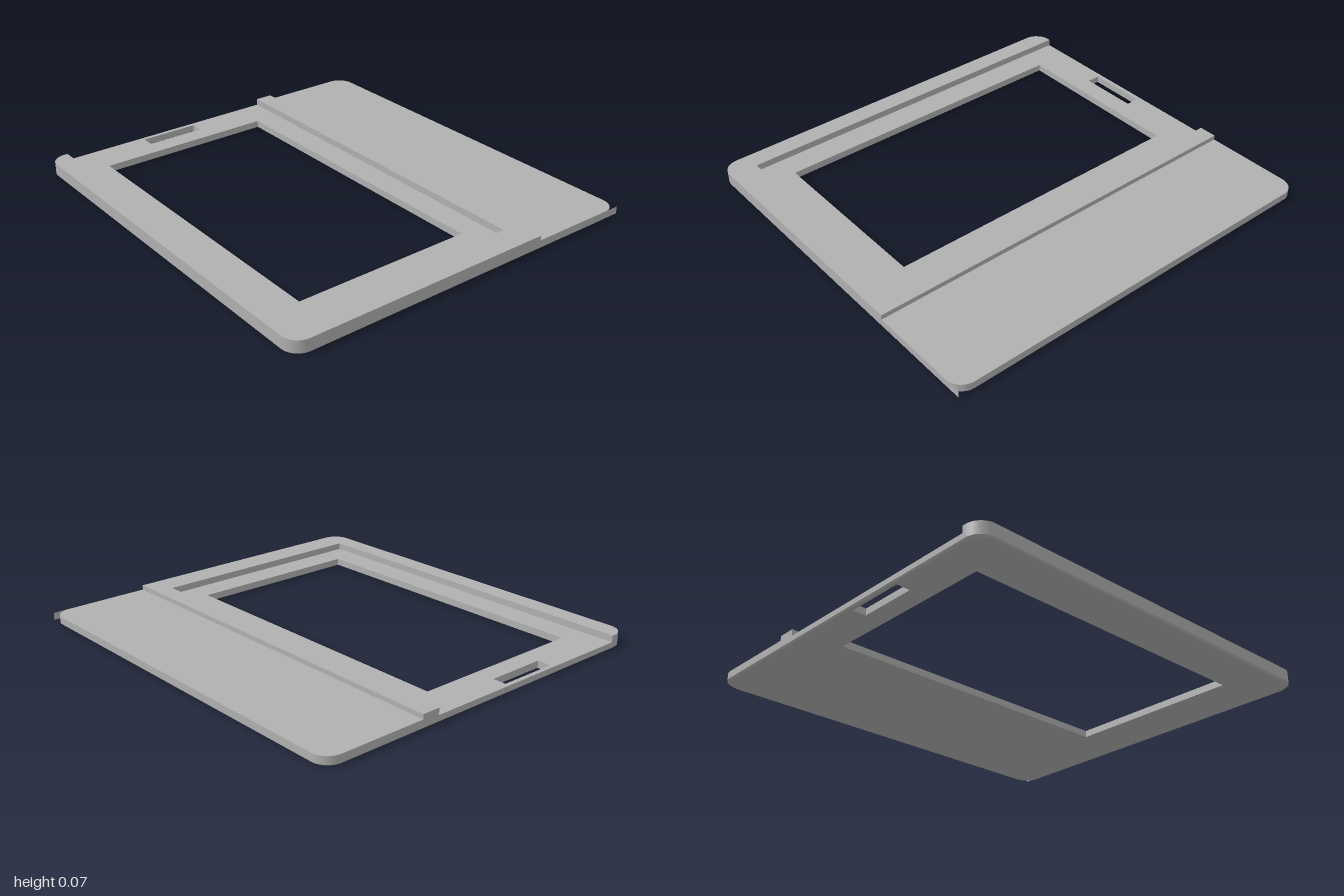
import * as THREE from 'three';

const W = 1, D = 0.917, R = 0.08;           // half width, half depth, corner radius
const FLOOR = 0.034, BACK = 0.044, TOP = 0.067, CHAMFER = 0.008;

// Plan outlines use (x, z) as shape coordinates
function rectHole(x0, x1, z0, z1) {
  const p = new THREE.Path();
  p.moveTo(x0, z0); p.lineTo(x0, z1); p.lineTo(x1, z1); p.lineTo(x1, z0);
  p.closePath();
  return p;
}

// Extrudes a plan outline from y0 up to y1
function slab(shape, y0, y1) {
  const g = new THREE.ExtrudeGeometry(shape, { depth: y1 - y0, bevelEnabled: false, curveSegments: 10 });
  g.rotateX(Math.PI / 2);                   // shape y becomes z, depth goes down
  g.translate(0, y1, 0);
  return g;
}

function roundedPlan() {
  const s = new THREE.Shape();
  s.moveTo(-W + R, -D);
  s.lineTo(W - R, -D); s.absarc(W - R, -D + R, R, -Math.PI / 2, 0);
  s.lineTo(W, D - R); s.absarc(W - R, D - R, R, 0, Math.PI / 2);
  s.lineTo(-W + R, D); s.absarc(-W + R, D - R, R, Math.PI / 2, Math.PI);
  s.lineTo(-W, -D + R); s.absarc(-W + R, -D + R, R, Math.PI, Math.PI * 1.5);
  s.holes.push(rectHole(-0.815, 0.735, -0.195, 0.692));   // screen window
  s.holes.push(rectHole(-0.978, -0.912, 0.105, 0.4));     // side slot
  return s;
}

export function createModel() {
  const group = new THREE.Group();
  const grey = new THREE.MeshStandardMaterial({ color: 0xb0b0b0, side: THREE.DoubleSide });
  grey.name = 'plainGrey';
  const add = (name, geometry) => {
    const m = new THREE.Mesh(geometry, grey);
    m.name = name;
    group.add(m);
  };

  // Floor plate with its window and slot
  add('floorPlate', slab(roundedPlan(), CHAMFER, FLOOR));

  // Chamfered underside: only the outer contour is drawn in
  const under = slab(roundedPlan(), 0, CHAMFER);
  const p = under.attributes.position;
  for (let i = 0; i < p.count; i++) {
    if (p.getY(i) < CHAMFER / 2 && Math.abs(p.getZ(i)) > 0.75) {
      p.setX(i, p.getX(i) * (1 - CHAMFER / W));
      p.setZ(i, p.getZ(i) * (1 - CHAMFER / D));
    }
  }
  under.computeVertexNormals();
  add('chamferedUnderside', under);

  // Lower shelf at the back
  const shelf = new THREE.Shape();
  shelf.moveTo(-W, -0.41);
  shelf.lineTo(-W, -D + R); shelf.absarc(-W + R, -D + R, R, Math.PI, Math.PI * 1.5);
  shelf.lineTo(W - R, -D); shelf.absarc(W - R, -D + R, R, -Math.PI / 2, 0);
  shelf.lineTo(W, -0.41);
  add('backShelf', slab(shelf, FLOOR, BACK));

  // Raised C-shaped rim, open on the -x side
  const rim = new THREE.Shape();
  rim.moveTo(-W, -0.41);
  rim.lineTo(W, -0.41);
  rim.lineTo(W, D - R); rim.absarc(W - R, D - R, R, 0, Math.PI / 2);
  rim.lineTo(-W + R, D); rim.absarc(-W + R, D - R, R, Math.PI / 2, Math.PI);
  rim.lineTo(-W, 0.82); rim.lineTo(0.865, 0.82);
  rim.lineTo(0.865, -0.32); rim.lineTo(-W, -0.32);
  add('raisedRim', slab(rim, FLOOR, TOP));

  // Thin fin carrying the side wall past the rounded back corner
  const fin = new THREE.PlaneGeometry(R, BACK - CHAMFER);
  fin.rotateY(Math.PI / 2);
  fin.translate(W, (BACK + CHAMFER) / 2, -D + R / 2);
  add('cornerFin', fin);

  return group;
}
